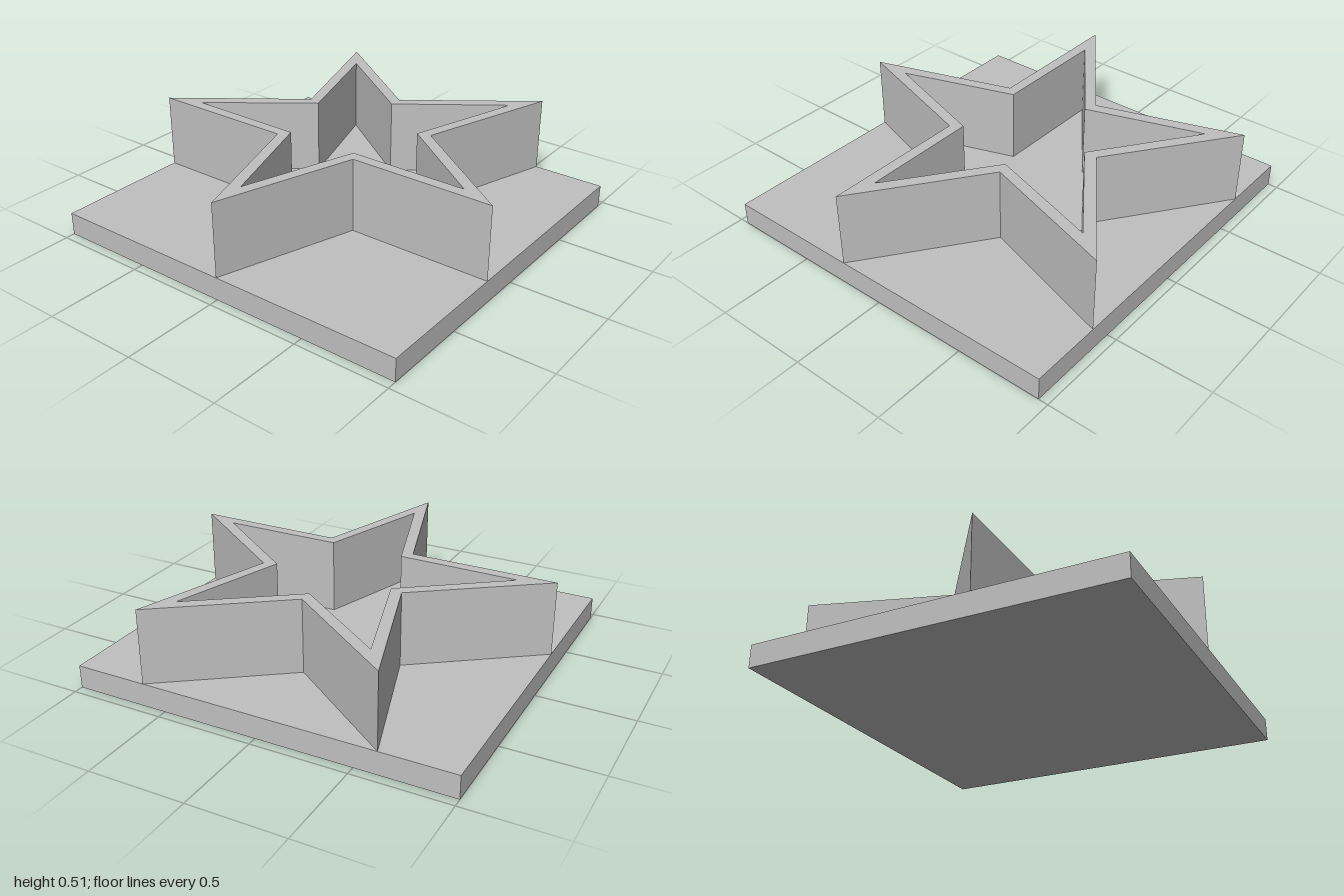
import * as THREE from 'three';

// Five-pointed star outline, first point towards +z once laid flat
function starPoints(outer, inner) {
  const points = [];
  for (let i = 0; i < 10; i++) {
    const r = i % 2 ? inner : outer;
    const a = (i * Math.PI) / 5;
    points.push(new THREE.Vector2(r * Math.sin(a), -r * Math.cos(a)));
  }
  return points;
}

export function createModel() {
  const model = new THREE.Group();
  model.name = 'starOnPlate';
  const grey = new THREE.MeshStandardMaterial({ color: 0xc0c0c0 });
  grey.name = 'grey';

  const plateHeight = 0.12;
  const wallHeight = 0.39;
  const outerRadius = 1 / Math.sin((2 * Math.PI) / 5);
  const halfDepth = (outerRadius * (1 + Math.cos(Math.PI / 5))) / 2;

  // Flat rectangular base
  const plate = new THREE.Mesh(new THREE.BoxGeometry(2, plateHeight, 2 * halfDepth), grey);
  plate.name = 'basePlate';
  plate.position.y = plateHeight / 2;
  model.add(plate);

  // Hollow star-shaped wall, open at the top
  const shape = new THREE.Shape(starPoints(outerRadius, outerRadius * 0.382));
  shape.holes.push(new THREE.Path(starPoints(0.858, 0.332).reverse()));
  const wallGeometry = new THREE.ExtrudeGeometry(shape, { depth: wallHeight, bevelEnabled: false });
  wallGeometry.rotateX(-Math.PI / 2);
  const wall = new THREE.Mesh(wallGeometry, grey);
  wall.name = 'starWall';
  wall.position.set(0, plateHeight, halfDepth - outerRadius);
  model.add(wall);

  return model;
}
